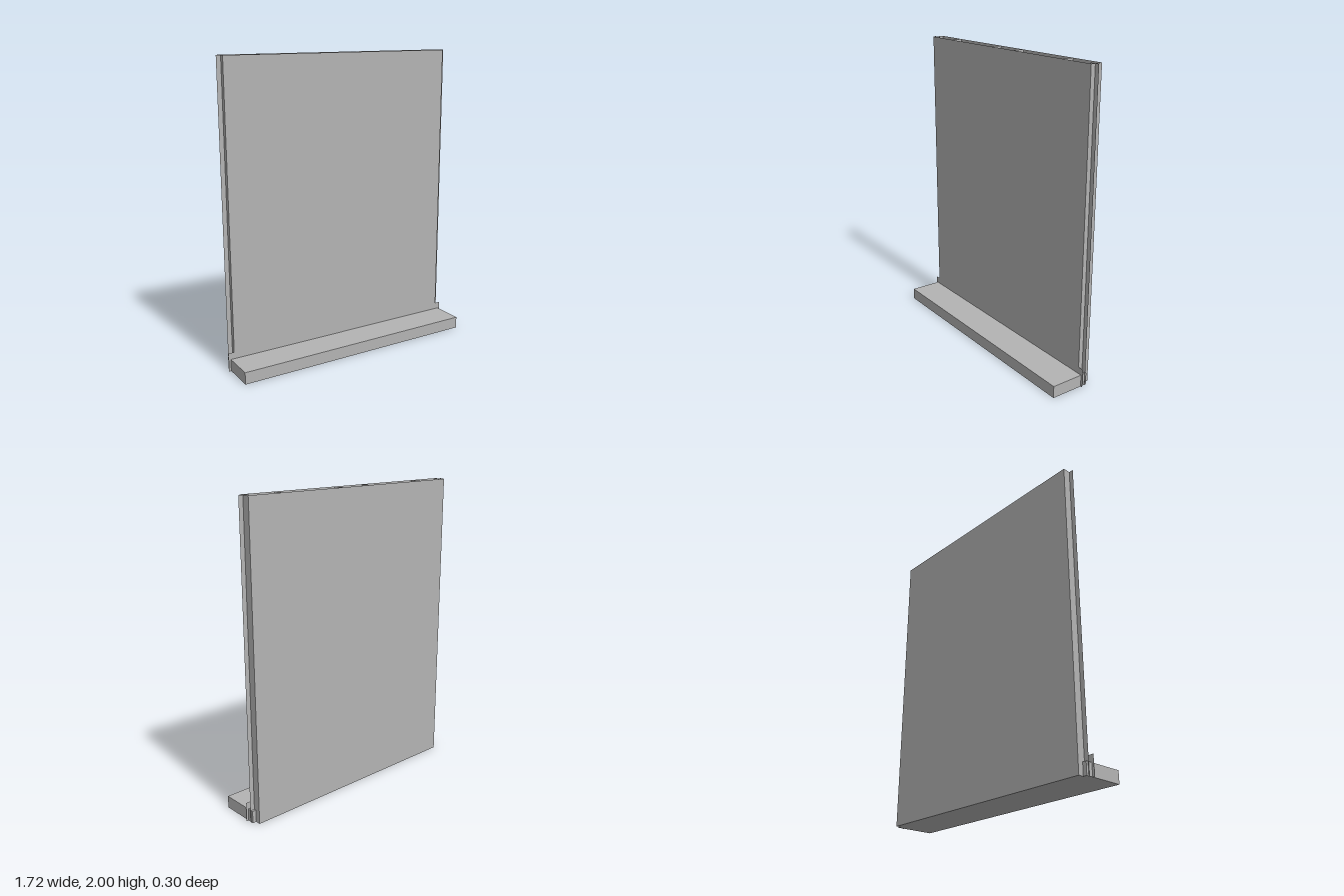
import * as THREE from 'three';

const FRONT = -0.07, BACK = -0.15, MID = -0.1, HEIGHT = 2, HALF = 0.82;

export function createModel() {
  const model = new THREE.Group();
  model.name = 'wallPanel';
  const grey = new THREE.MeshStandardMaterial({ color: 0xb3b3b3, side: THREE.DoubleSide });
  grey.name = 'grey';

  const add = (name, geometry, x, y, z) => {
    const mesh = new THREE.Mesh(geometry, grey);
    mesh.name = name;
    mesh.position.set(x, y, z);
    model.add(mesh);
    return mesh;
  };
  // Upright sheet facing z, given by its x and y range
  const sheet = (name, x0, x1, y0, y1, z) =>
    add(name, new THREE.PlaneGeometry(x1 - x0, y1 - y0), (x0 + x1) / 2, (y0 + y1) / 2, z);
  // Upright sheet spanning the hollow of the wall from front to back
  const web = (name, x, side) => {
    const mesh = add(name, new THREE.PlaneGeometry(FRONT - BACK, HEIGHT), x, HEIGHT / 2, (FRONT + BACK) / 2);
    mesh.rotation.y = side * Math.PI / 2;
  };

  // Thin skins of the hollow, open-topped wall
  sheet('frontSkin', -HALF, HALF, 0, HEIGHT, FRONT);
  sheet('backSkin', -HALF, HALF, 0, HEIGHT, BACK).rotation.y = Math.PI;

  for (const s of [-1, 1]) {
    const mirrored = (name, a, b, y1, z) =>
      sheet(name, Math.min(s * a, s * b), Math.max(s * a, s * b), 0, y1, z);
    web('endSkin', s * HALF, s);
    web('outerStud', s * 0.58, s);
    web('innerStud', s * 0.117, s);
    // Joining flange through each end, and a short foot tab
    mirrored('joiningFlange', 0.78, 0.85, HEIGHT, MID);
    mirrored('footTab', HALF, 0.86, 0.125, FRONT);
  }

  // Floor of the hollow
  const floor = add('cavityFloor', new THREE.PlaneGeometry(HALF * 2, 0.035), 0, 0, -0.1325);
  floor.rotation.x = Math.PI / 2;

  // Ledge along the foot of the wall
  add('baseLedge', new THREE.BoxGeometry(1.69, 0.08, 0.265), 0, 0.04, 0.0175);

  return model;
}
